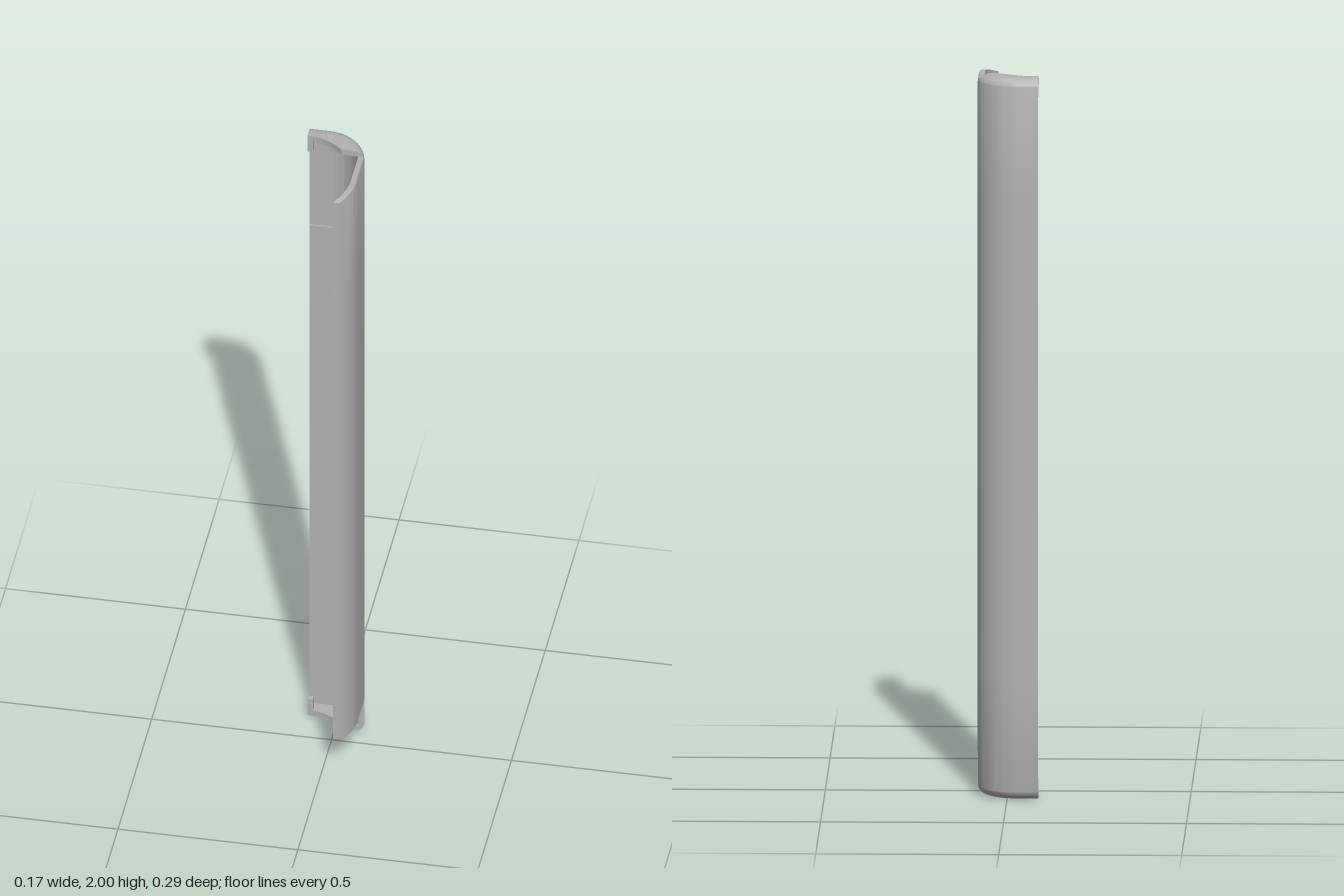
import * as THREE from 'three';
import { toCreasedNormals } from 'three/addons/utils/BufferGeometryUtils.js';

const R = 0.113, CX = -0.03, BACK = -0.035, FRONT = 0.065; // corner arcs
const SPLIT = -0.053; // where the back wall meets the side wall
const FILLET = 0.03, THIN = 0.018, THICK = 0.023;

// How far the outer skin draws in near the rounded top and bottom
function inset(y) {
  const d = Math.max(0, FILLET - Math.min(y, 2 - y));
  return FILLET - Math.sqrt(Math.max(0, FILLET * FILLET - d * d));
}

// Skin through rows of closed sections; each row is { outer, inner } of equal length
function loft(rows) {
  const pos = [];
  const tri = (a, b, c) => {
    const n = b.clone().sub(a).cross(c.clone().sub(a));
    if (n.length() > 1e-9) pos.push(...a.toArray(), ...b.toArray(), ...c.toArray());
  };
  const loops = rows.map(r => [...r.outer, ...r.inner.slice().reverse()]);
  for (let j = 0; j < loops.length - 1; j++) {
    const lo = loops[j], hi = loops[j + 1], n = lo.length;
    for (let i = 0; i < n; i++) {
      const k = (i + 1) % n;
      tri(lo[i], hi[i], lo[k]);
      tri(lo[k], hi[i], hi[k]);
    }
  }
  const end = ({ outer: o, inner: q }, top) => {
    for (let i = 0; i < o.length - 1; i++) {
      const t = [[o[i], o[i + 1], q[i]], [o[i + 1], q[i + 1], q[i]]];
      t.forEach(([a, b, c]) => (top ? tri(a, c, b) : tri(a, b, c)));
    }
  };
  end(rows[0], false);
  end(rows[rows.length - 1], true);
  const g = new THREE.BufferGeometry();
  g.setAttribute('position', new THREE.Float32BufferAttribute(pos, 3));
  return toCreasedNormals(g, 0.5);
}

// Back wall path: flat strip, then the rounded corner; d is the inward direction
function backPath() {
  const path = [[-0.085, -0.148, 0, 1], [-0.06, -0.148, 0, 1]];
  const last = Math.acos((BACK - SPLIT) / R), n = 20;
  for (let i = 0; i <= n; i++) {
    const a = last * i / n;
    const x = CX + R * Math.sin(a), z = BACK - R * Math.cos(a);
    path.push(i < n ? [x, z, -Math.sin(a), Math.cos(a)] : [x, z, -1, 0]);
  }
  return path;
}

// Side wall path: end of the corner, straight side, then the front curve
function sidePath() {
  const path = [];
  const a0 = Math.asin((BACK - SPLIT) / R), a1 = Math.asin((0.146 - FRONT) / R);
  for (let i = 0; i <= 3; i++) {
    const a = a0 * (1 - i / 3);
    path.push([CX + R * Math.cos(a), BACK - R * Math.sin(a)]);
  }
  for (let i = 0; i <= 14; i++) {
    const a = a1 * i / 14;
    path.push([CX + R * Math.cos(a), FRONT + R * Math.sin(a)]);
  }
  return path;
}

function backShell() {
  const path = backPath();
  const shift = (y, d) => path.map(([x, z, dx, dz]) => new THREE.Vector3(x + dx * d, y, z + dz * d));
  // Inner edge of the end caps
  const edge = new THREE.QuadraticBezierCurve(
    new THREE.Vector2(-0.085, -0.097), new THREE.Vector2(-0.03, -0.097), new THREE.Vector2(0.017, SPLIT));
  const capEdge = y => path.map((p, i) => {
    const v = edge.getPoint(i / (path.length - 1));
    return new THREE.Vector3(v.x, y, v.y);
  });
  const wall = (y, t) => ({ outer: shift(y, inset(y)), inner: shift(y, t) });
  const cap = y => ({ outer: shift(y, inset(y)), inner: capEdge(y) });
  const capY = [];
  for (let i = 0; i <= 6; i++) capY.push(FILLET * (1 - Math.cos(i / 6 * Math.PI / 2)));
  const thick = 0.018;
  const low = capY.filter(y => y < thick), high = capY.filter(y => y > thick);
  return loft([
    ...low.map(cap), cap(thick), wall(thick, THIN),
    ...high.map(y => wall(y, THIN)),
    wall(0.34, THIN), wall(0.34, THICK), wall(1.67, THICK), wall(1.67, THIN),
    ...high.slice().reverse().map(y => wall(2 - y, THIN)),
    wall(2 - thick, THIN), cap(2 - thick),
    ...low.slice().reverse().map(y => cap(2 - y)),
  ]);
}

function sideShell() {
  const path = sidePath();
  // The top edge dips toward the front
  const top = z => 1.985 - 0.015 * Math.pow(Math.max(0, (z - 0.075) / 0.071), 2);
  const row = (y, t) => {
    const outer = [], inner = [];
    for (const [x, z] of path) {
      const yy = Math.min(y, top(z));
      outer.push(new THREE.Vector3(x - inset(yy), yy, z));
      inner.push(new THREE.Vector3(x - t, yy, z));
    }
    return { outer, inner };
  };
  return loft([
    row(0.12, THIN), row(0.34, THIN), row(0.34, THICK), row(1.67, THICK), row(1.67, THIN),
    ...[1.97, 1.974, 1.978, 1.982, 1.985].map(y => row(y, THIN)),
  ]);
}

export function createModel() {
  const group = new THREE.Group();
  const grey = new THREE.MeshStandardMaterial({ color: 0xb2b2b2 });
  grey.name = 'plain grey';
  const add = (geometry, name) => {
    const mesh = new THREE.Mesh(geometry, grey);
    mesh.name = name;
    group.add(mesh);
    return mesh;
  };
  add(backShell(), 'backWallWithEndCaps');
  add(sideShell(), 'sideWall');
  // Small hooks hanging inside the end caps
  for (const [name, y] of [['topHook', 1.966], ['bottomHook', 0.034]]) {
    add(new THREE.BoxGeometry(0.015, 0.042, 0.016), name).position.set(-0.0775, y, -0.105);
  }
  return group;
}
